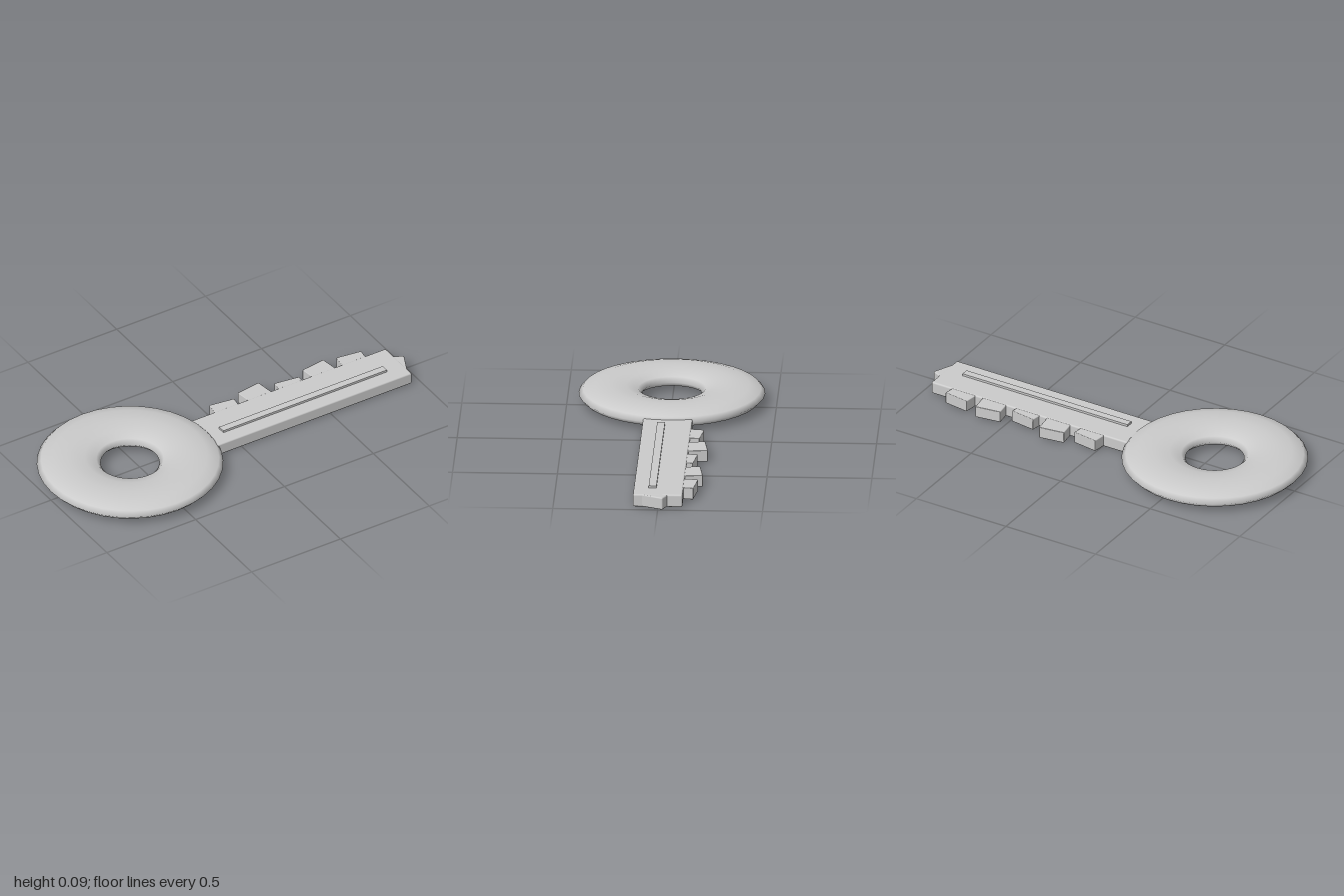
import * as THREE from 'three';
import { RoundedBoxGeometry } from 'three/addons/geometries/RoundedBoxGeometry.js';

const material = new THREE.MeshStandardMaterial({ color: 0xcccccc });

export function createModel() {
  const key = new THREE.Group();
  key.name = 'key';

  const add = (name, geometry, x, y, z, turn = 0) => {
    const mesh = new THREE.Mesh(geometry, material);
    mesh.name = name;
    mesh.position.set(x, y, z);
    mesh.rotation.y = turn;
    key.add(mesh);
    return mesh;
  };

  // Flattened ring handle
  const ring = new THREE.TorusGeometry(0.2925, 0.1525, 12, 36);
  ring.rotateX(Math.PI / 2);
  ring.scale(1, 0.295, 1);
  add('bow', ring, -0.555, 0.05, 0);

  // Blade with softened edges
  add('blade', new RoundedBoxGeometry(1.117, 0.062, 0.236, 2, 0.008), 0.3985, 0.031, 0.002);

  // Thin raised rib along the top of the blade
  add('rib', new THREE.BoxGeometry(0.92, 0.03, 0.037), 0.4, 0.058, 0.03);

  // Turned block whose corner forms the pointed tip
  const tip = new RoundedBoxGeometry(0.1, 0.06, 0.14, 2, 0.006);
  tip.translate(-0.05, 0, 0.07);
  add('tip', tip, 1.002, 0.031, -0.022, -0.43);

  // Teeth along the back edge: [centre x, outer edge z, turn]
  const teeth = [
    [0.068, -0.17, -0.14],
    [0.235, -0.2, 0.14],
    [0.425, -0.154, -0.14],
    [0.595, -0.192, 0.14],
    [0.785, -0.172, -0.14],
  ];
  teeth.forEach(([x, z, turn], i) => {
    const tooth = new RoundedBoxGeometry(0.13, 0.058, 0.1, 1, 0.004);
    tooth.translate(0, 0, 0.05);
    add(`tooth${i + 1}`, tooth, x, 0.031, z, turn);
  });

  return key;
}
